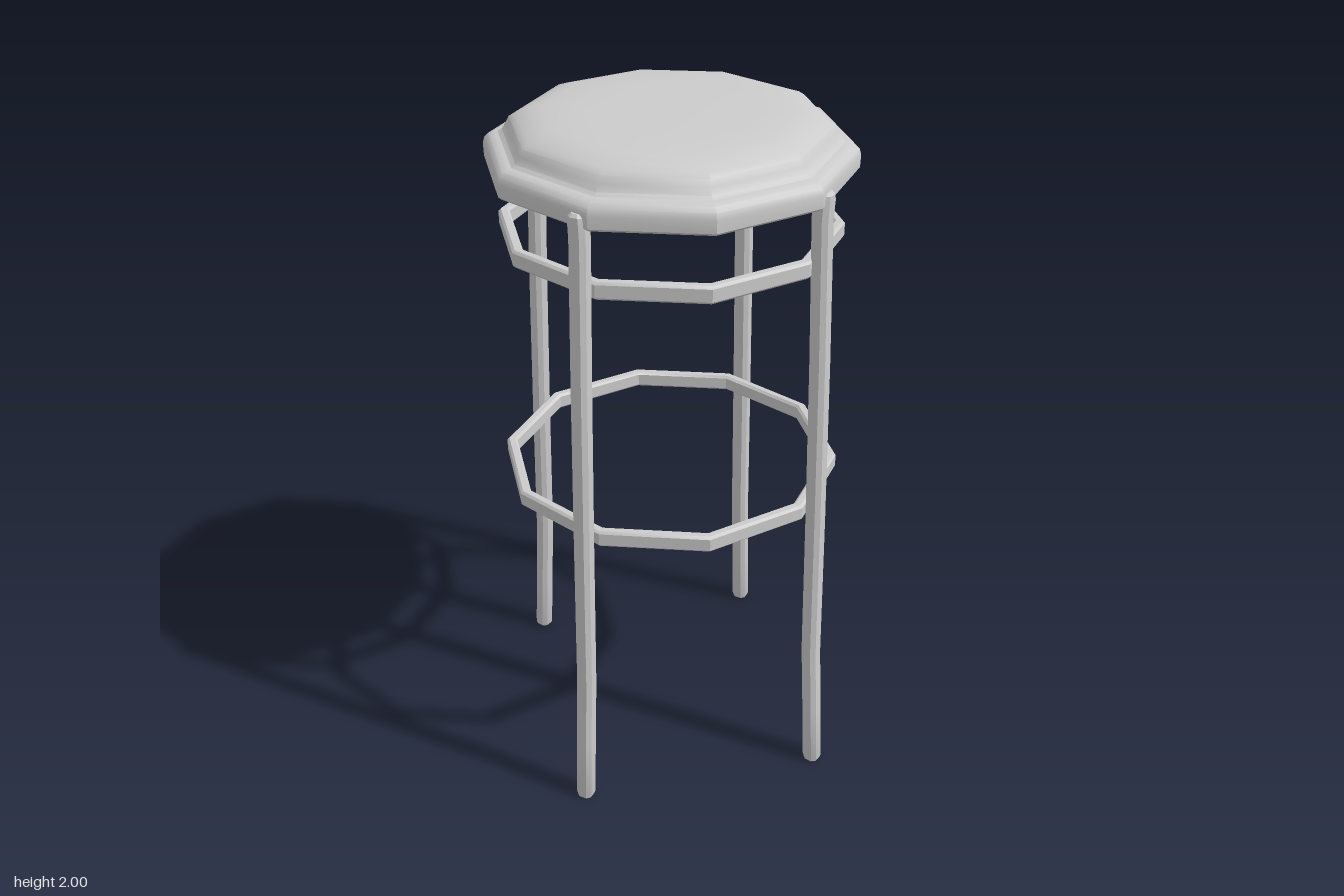
import * as THREE from 'three';
import { toCreasedNormals } from 'three/addons/utils/BufferGeometryUtils.js';

const SIDES = 10;
const material = new THREE.MeshStandardMaterial({ color: 0xcccccc });

function addMesh(parent, geometry, name) {
  const mesh = new THREE.Mesh(toCreasedNormals(geometry, 0.56), material);
  mesh.name = name;
  parent.add(mesh);
  return mesh;
}

// Ten-sided turned form; a corner points to the front
function turned(profile) {
  return new THREE.LatheGeometry(profile.map(([r, y]) => new THREE.Vector2(r, y)), SIDES);
}

// Flat hoop with chamfered edges
function hoop(outer, y) {
  const t = 0.032, h = 0.025, c = 0.007, inner = outer - t;
  return turned([
    [inner + c, y - h], [outer - c, y - h], [outer, y - h + c], [outer, y + h - c],
    [outer - c, y + h], [inner + c, y + h], [inner, y + h - c], [inner, y - h + c], [inner + c, y - h],
  ]);
}

// Bar with a chamfered square section, following [radius, height, scale] stations
function legGeometry(stations) {
  const a = 0.025, b = 0.013;
  const section = [[b, a], [a, b], [a, -b], [b, -a], [-b, -a], [-a, -b], [-a, b], [-b, a]];
  const n = section.length, pos = [], index = [];
  for (const [r, y, s] of stations) {
    for (const [x, z] of section) pos.push(x * s, y, r + z * s);
  }
  for (let i = 0; i < stations.length - 1; i++) {
    for (let j = 0; j < n; j++) {
      const p = i * n + j, q = i * n + (j + 1) % n;
      index.push(p, q, p + n, q, q + n, p + n);
    }
  }
  const top = (stations.length - 1) * n;
  for (let j = 1; j < n - 1; j++) {
    index.push(0, j + 1, j, top, top + j, top + j + 1);
  }
  const g = new THREE.BufferGeometry();
  g.setAttribute('position', new THREE.Float32BufferAttribute(pos, 3));
  g.setIndex(index);
  return g;
}

export function createModel() {
  const stool = new THREE.Group();
  stool.name = 'barStool';

  // Seat: rounded rim with a closed underside
  addMesh(stool, turned([
    [0, 1.842], [0.503, 1.842], [0.512, 1.85], [0.513, 1.885],
    [0.508, 1.902], [0.496, 1.914], [0.478, 1.92], [0.44, 1.92],
  ]), 'seatRim');

  // Padded cushion with a slight crown
  addMesh(stool, turned([
    [0.474, 1.918], [0.458, 1.927], [0.447, 1.945], [0.437, 1.963], [0.42, 1.974],
    [0.385, 1.987], [0.345, 1.995], [0.24, 1.999], [0, 2.0],
  ]), 'seatCushion');

  // Hoops inside the legs
  addMesh(stool, hoop(0.482, 1.67), 'upperRing');
  addMesh(stool, hoop(0.5, 0.92), 'footRing');

  // Four splayed legs, curving out at the foot
  const leg = legGeometry([
    [0.562, 0, 0.88], [0.562, 0.01, 1], [0.55, 0.2, 1], [0.535, 0.42, 1], [0.522, 0.9, 1],
    [0.506, 1.4, 1], [0.489, 1.81, 1], [0.492, 1.86, 1], [0.494, 1.875, 0.88], [0.494, 1.883, 0.6],
  ]);
  const splay = THREE.MathUtils.degToRad(40);
  const angles = {
    frontLeftLeg: splay, frontRightLeg: -splay,
    backLeftLeg: Math.PI - splay, backRightLeg: Math.PI + splay,
  };
  for (const [name, angle] of Object.entries(angles)) {
    addMesh(stool, leg, name).rotation.y = angle;
  }

  return stool;
}
